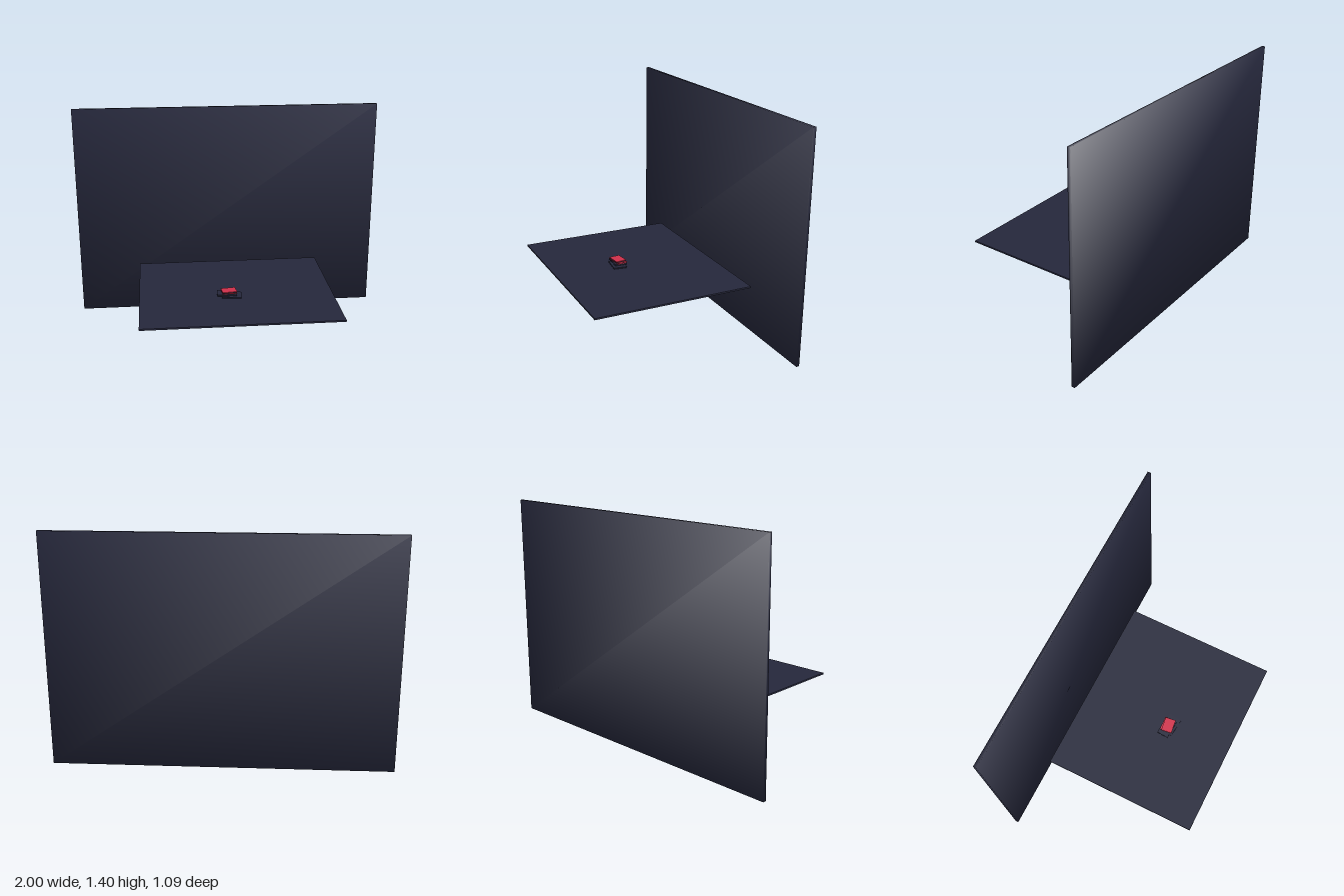
import * as THREE from 'three';
import { mergeVertices } from 'three/addons/utils/BufferGeometryUtils.js';

const material = (name, color) => {
  const m = new THREE.MeshStandardMaterial({ color });
  m.name = name;
  return m;
};

export function createModel() {
  const navy = material('navy', 0x25273b);
  const dark = material('dark', 0x15151f);
  const red = material('red', 0xd0304a);
  const model = new THREE.Group();
  model.name = 'deskScene';

  const box = (name, parent, mat, size, pos) => {
    const mesh = new THREE.Mesh(new THREE.BoxGeometry(...size), mat);
    mesh.name = name;
    mesh.position.set(...pos);
    parent.add(mesh);
    return mesh;
  };

  // Upright back panel with corner normals shared between its faces
  const panel = box('backPanel', model, navy, [2, 1.4, 0.02], [0, 0.7, -0.535]);
  panel.geometry.deleteAttribute('normal');
  panel.geometry.deleteAttribute('uv');
  panel.geometry = mergeVertices(panel.geometry);
  const p = panel.geometry.attributes.position;
  const normals = new Float32Array(p.count * 3);
  const v = new THREE.Vector3();
  for (let i = 0; i < p.count; i++) {
    v.set(Math.sign(p.getX(i)), Math.sign(p.getY(i)), Math.sign(p.getZ(i))).normalize().toArray(normals, i * 3);
  }
  panel.geometry.setAttribute('normal', new THREE.BufferAttribute(normals, 3));

  // Floating desk top
  box('deskTop', model, navy, [1.2, 0.01, 1], [0, 0.345, 0.045]);

  // Stack of small books: a dark block between two thin covers
  const book = (name, cover, w, d, h, x, y, z, turn) => {
    const g = new THREE.Group();
    g.name = name;
    g.position.set(x, y, z);
    g.rotation.y = turn;
    const t = 0.003;
    box('bottomCover', g, cover, [w, t, d], [0, t / 2, 0]);
    box('pages', g, dark, [w * 0.97, h - 2 * t, d * 0.97], [0, h / 2, 0]);
    box('topCover', g, cover, [w, t, d], [0, h - t / 2, 0]);
    model.add(g);
  };
  book('bottomBook', navy, 0.12, 0.085, 0.008, -0.03, 0.35, 0.133, -0.12);
  book('lowerBook', navy, 0.12, 0.075, 0.009, -0.06, 0.358, 0.12, -0.06);
  book('upperBook', red, 0.09, 0.062, 0.008, -0.045, 0.367, 0.115, 0.08);
  book('topBook', red, 0.09, 0.068, 0.011, -0.048, 0.375, 0.125, 0.13);

  return model;
}
